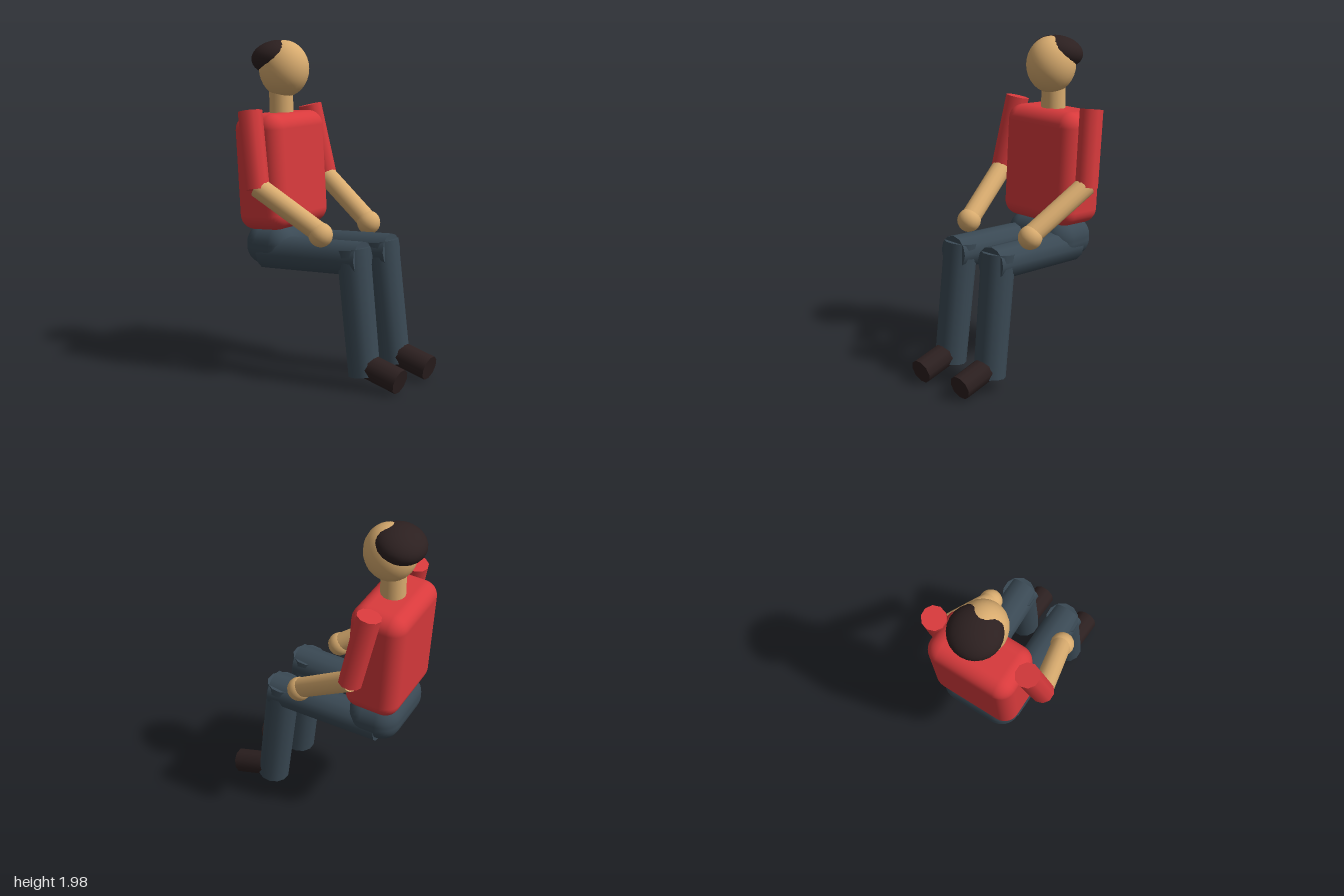
import * as THREE from 'three';
import { RoundedBoxGeometry } from 'three/addons/geometries/RoundedBoxGeometry.js';

const mat = (name, color) => {
  const m = new THREE.MeshStandardMaterial({ color });
  m.name = name;
  return m;
};

export function createModel() {
  const model = new THREE.Group();
  model.name = 'seatedFigure';
  const skin = mat('skin', 0xd9ac6f);
  const red = mat('redShirt', 0xd83a3c);
  const jeans = mat('slateTrousers', 0x3a4954);
  const dark = mat('darkBrown', 0x2c2020);

  const add = (name, geometry, material, x, y, z, tilt = 0) => {
    const mesh = new THREE.Mesh(geometry, material);
    mesh.name = name;
    mesh.position.set(x, y, z);
    mesh.rotation.z = tilt;
    model.add(mesh);
    return mesh;
  };

  // Straight limb running from point a to point b
  const limb = (name, a, b, rA, rB, material, sides = 10) => {
    const from = new THREE.Vector3(...a), to = new THREE.Vector3(...b);
    const dir = to.clone().sub(from);
    const mid = from.clone().add(to).multiplyScalar(0.5);
    const geometry = new THREE.CylinderGeometry(rB, rA, dir.length(), sides);
    const mesh = add(name, geometry, material, mid.x, mid.y, mid.z);
    mesh.quaternion.setFromUnitVectors(new THREE.Vector3(0, 1, 0), dir.normalize());
    return mesh;
  };

  const ellipsoid = (rx, ry, rz) => new THREE.SphereGeometry(1, 24, 16).scale(rx, ry, rz);

  // Head, hair and neck; the figure faces +x
  add('head', ellipsoid(0.155, 0.17, 0.145), skin, -0.375, 1.827, 0);
  add('hair', ellipsoid(0.15, 0.099, 0.155), dark, -0.432, 1.896, 0, 0.22);
  add('neck', new THREE.CylinderGeometry(0.073, 0.073, 0.22, 16), skin, -0.397, 1.6, 0);

  // Torso leans back slightly, with the hips below
  add('torso', new RoundedBoxGeometry(0.335, 0.69, 0.55, 4, 0.09), red, -0.395, 1.22, 0, 0.06);
  add('hips', new RoundedBoxGeometry(0.325, 0.25, 0.5, 4, 0.115), jeans, -0.37, 0.778, 0);

  // Mirrored arms and legs
  for (const [side, s] of [['left', 1], ['right', -1]]) {
    limb(side + 'UpperArm', [-0.4, 1.592, s * 0.303], [-0.312, 1.143, s * 0.35], 0.072, 0.07, red);
    limb(side + 'Forearm', [-0.312, 1.155, s * 0.347], [0.068, 0.905, s * 0.253], 0.062, 0.06, skin, 16);
    add(side + 'Hand', new THREE.SphereGeometry(0.072, 16, 12), skin, 0.068, 0.898, s * 0.256);
    limb(side + 'Thigh', [-0.41, 0.733, s * 0.147], [0.293, 0.765, s * 0.157], 0.102, 0.102, jeans, 12);
    limb(side + 'Shin', [0.228, 0.822, s * 0.157], [0.315, 0.085, s * 0.168], 0.1, 0.095, jeans, 12);
    limb(side + 'Shoe', [0.31, 0.15, s * 0.168], [0.555, 0.082, s * 0.168], 0.075, 0.075, dark);
  }
  return model;
}
